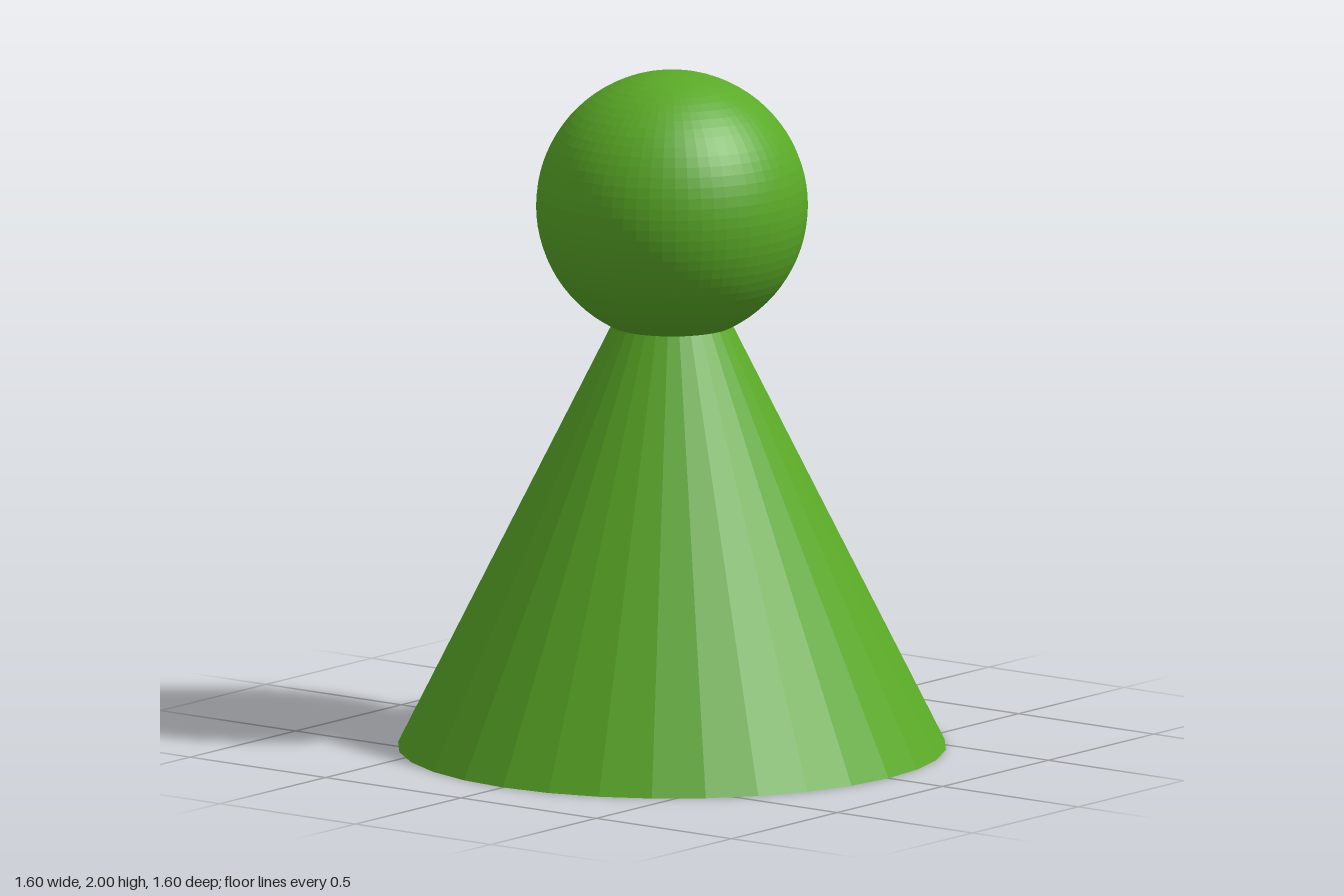
import * as THREE from 'three';

export function createModel() {
  const group = new THREE.Group();
  const material = new THREE.MeshStandardMaterial({ color: 0x5aaa27, flatShading: true });

  const addPart = (name, geometry, y) => {
    const mesh = new THREE.Mesh(geometry, material);
    mesh.name = name;
    mesh.position.y = y;
    group.add(mesh);
  };

  // Faceted conical body, its tip ending just inside the head
  const bodyHeight = 1.3;
  addPart('body', new THREE.CylinderGeometry(0.15, 0.8, bodyHeight, 32), bodyHeight / 2);

  // Round head resting on the body
  const headRadius = 0.396;
  addPart('head', new THREE.SphereGeometry(headRadius, 64, 40), 2 - headRadius);

  return group;
}
